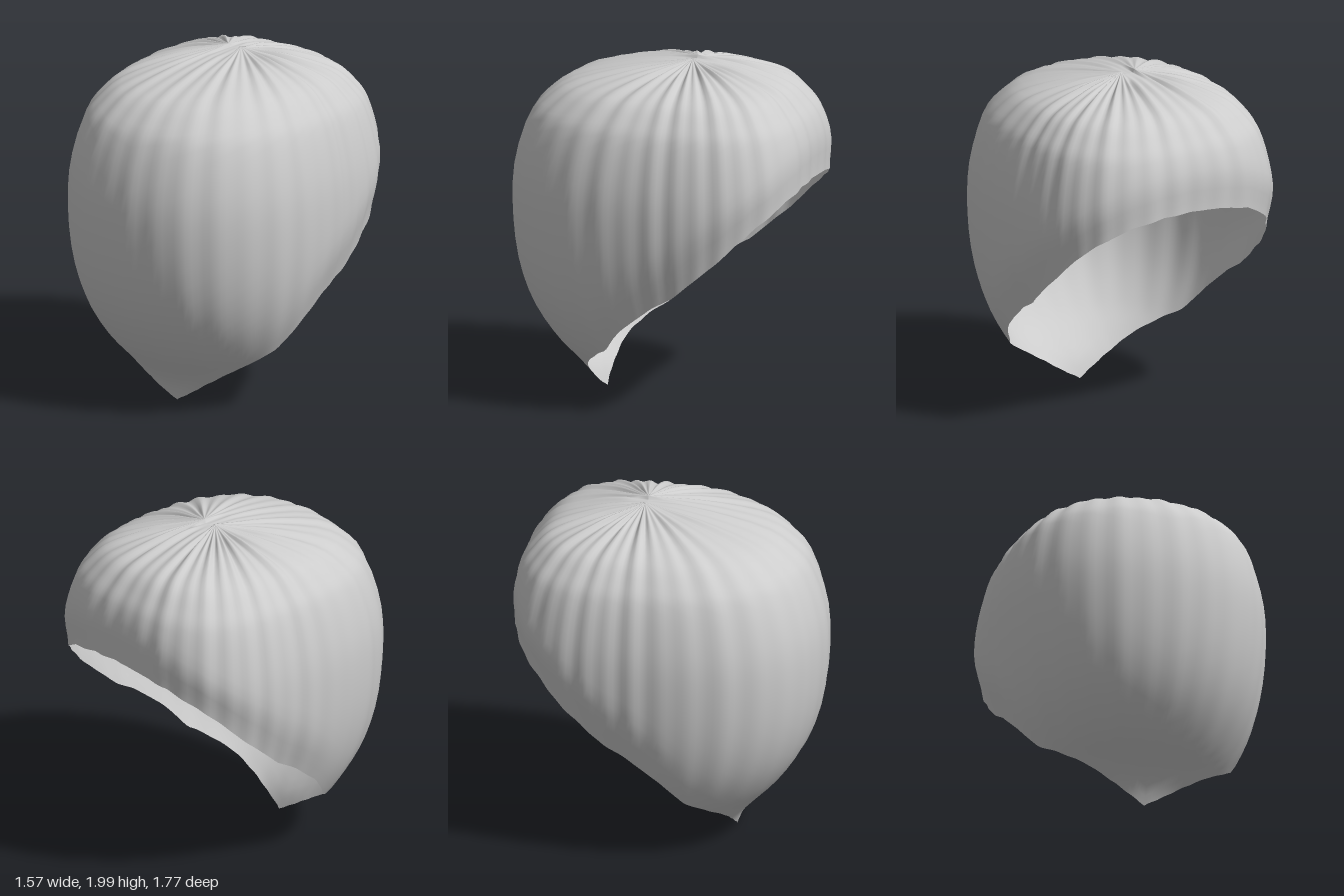
import * as THREE from 'three';

const AXIS_Z = -0.14; // the crown sits a little behind the centre
const COLS = 192, ROWS = 30;

// Crown-to-hem profile: [share of full outline, height]
const profile = new THREE.CatmullRomCurve3([
  [0, 1.99], [0.2, 1.968], [0.42, 1.93], [0.69, 1.85], [0.81, 1.76], [0.895, 1.66], [0.985, 1.38],
  [1, 1.1], [0.965, 0.8], [0.885, 0.56], [0.76, 0.36], [0.65, 0.24], [0.55, 0.12], [0.5, 0],
].map(([f, y]) => new THREE.Vector3(f, y, 0)));

// Hem height by angle in degrees, from the front round to the back
const hem = [[0, 0.01], [15, 0.1], [39, 0.26], [59, 0.38], [72, 0.54], [87, 0.68], [98, 0.755],
  [117, 0.97], [126, 1.09], [136, 1.2], [150, 1.3], [165, 1.34], [180, 1.35]];

function hemHeight(deg) {
  const i = Math.max(1, hem.findIndex(p => p[0] >= deg - 1e-6));
  const [a, ya] = hem[i - 1], [b, yb] = hem[i];
  return THREE.MathUtils.mapLinear(deg, a, b, ya, yb);
}

function bisect(lo, hi, isLow) {
  for (let k = 0; k < 30; k++) {
    const mid = (lo + hi) / 2;
    if (isLow(mid)) lo = mid; else hi = mid;
  }
  return lo;
}

// Distance from the axis to the outline: rounder in front, squarer behind
function outline(s, c) {
  return bisect(0, 1.5, r => {
    const x = Math.abs(r * s) / 0.775, z = AXIS_Z + r * c;
    const n = z > 0 ? 2.25 : 3;
    return x ** n + (Math.abs(z) / 0.905) ** n < 1;
  });
}

// Uneven gathers, gentler at the front
function gathers(phi) {
  const wave = 0.6 * Math.sin(34 * phi + 1.4 * Math.sin(3 * phi)) + 0.4 * Math.sin(21 * phi + 1);
  return wave * (0.013 - 0.006 * Math.max(0, Math.cos(phi)));
}

function shellGeometry() {
  const positions = [], index = [];
  for (let i = 0; i < COLS; i++) {
    const phi = (i / COLS) * Math.PI * 2;
    const s = Math.sin(phi), c = Math.cos(phi);
    const deg = THREE.MathUtils.radToDeg(Math.min(phi, Math.PI * 2 - phi));
    const end = bisect(0, 1, t => profile.getPoint(t).y > hemHeight(deg));
    const radius = outline(s, c), fold = gathers(phi);
    // the hem turns inwards at the sides and back
    const tuck = 0.045 * THREE.MathUtils.smoothstep(deg, 55, 95);
    for (let j = 0; j <= ROWS; j++) {
      const v = j / ROWS;
      const p = profile.getPoint(end * v);
      const f = p.x;
      const fade = THREE.MathUtils.smoothstep(f, 0, 0.3) * (1 - 0.6 * v * v);
      const r = radius * f + fold * fade * f - tuck * THREE.MathUtils.smoothstep(v, 0.84, 1) ** 1.5;
      // gathers meet at two points either side of the crown
      const split = THREE.MathUtils.clamp(s * 4, -1, 1) * 0.045 * Math.max(0, 1 - f * 1.6);
      const lift = 1.3 * fold * fade * (1 - f * f)
        + (Math.abs(s) > 0.2 ? 0.01 : -0.01) * Math.max(0, 1 - f * 6);
      positions.push(r * s + split, p.y + lift, AXIS_Z + r * c);
      if (j < ROWS) {
        const a = i * (ROWS + 1) + j, b = ((i + 1) % COLS) * (ROWS + 1) + j;
        index.push(a, a + 1, b, b, a + 1, b + 1);
      }
    }
  }
  const g = new THREE.BufferGeometry();
  g.setAttribute('position', new THREE.Float32BufferAttribute(positions, 3));
  g.setIndex(index);
  g.computeVertexNormals();
  return g;
}

export function createModel() {
  const group = new THREE.Group();
  group.name = 'gatheredCap';
  const lightGrey = new THREE.MeshStandardMaterial({ color: 0xcccccc, side: THREE.DoubleSide });
  lightGrey.name = 'light grey';
  const shell = new THREE.Mesh(shellGeometry(), lightGrey);
  shell.name = 'gatheredShell';
  group.add(shell);
  return group;
}
